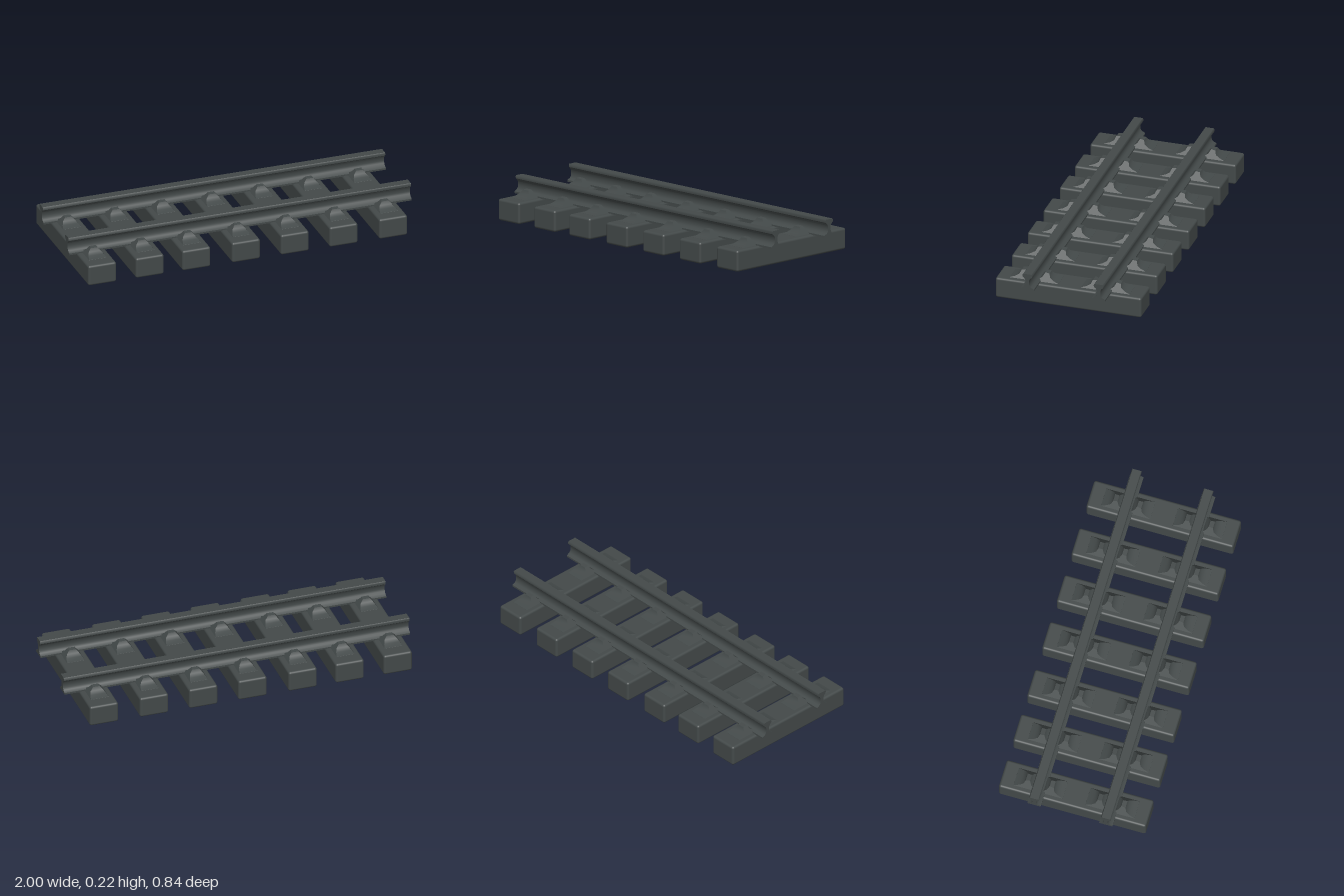
import * as THREE from 'three';
import { toCreasedNormals } from 'three/addons/utils/BufferGeometryUtils.js';
import { RoundedBoxGeometry } from 'three/addons/geometries/RoundedBoxGeometry.js';

const iron = new THREE.MeshStandardMaterial({ color: 0x434949 });
iron.name = 'dark iron grey';

const SLEEPER_X = [-0.87, -0.592, -0.32, -0.03, 0.255, 0.54, 0.83];
const RAIL_Z = [0.207, -0.203];

// Extrudes a (z, y) profile along x, centred on x = 0
function extrudeAlongX(points, length, steps = 1) {
  const shape = new THREE.Shape(points.map(([z, y]) => new THREE.Vector2(z, y)));
  const geometry = new THREE.ExtrudeGeometry(shape, { depth: length, steps, bevelEnabled: false });
  return geometry.translate(0, 0, -length / 2).rotateY(-Math.PI / 2);
}

// Rail: foot, thin web and head, mirrored about its centre
function railGeometry() {
  const half = [
    [0.038, 0.117], [0.038, 0.127], [0.02, 0.136], [0.012, 0.146], [0.01, 0.16],
    [0.011, 0.18], [0.017, 0.19], [0.027, 0.198], [0.028, 0.21], [0.024, 0.216],
  ];
  const mirrored = half.map(([z, y]) => [-z, y]).reverse();
  return toCreasedNormals(extrudeAlongX([...half, ...mirrored], 2), 0.7);
}

// Fastening: a lump beside the rail foot that narrows towards its top
function fasteningGeometry() {
  const geometry = extrudeAlongX([
    [0.02, 0.11], [0.145, 0.11], [0.14, 0.121], [0.11, 0.13], [0.088, 0.142],
    [0.08, 0.161], [0.056, 0.164], [0.045, 0.144], [0.03, 0.134],
  ], 0.12);
  const p = geometry.attributes.position;
  for (let i = 0; i < p.count; i++) {
    const rise = THREE.MathUtils.clamp((p.getY(i) - 0.11) / 0.054, 0, 1);
    p.setX(i, p.getX(i) * (1 - 0.7 * rise));
  }
  return toCreasedNormals(geometry, 0.7);
}

export function createModel() {
  const model = new THREE.Group();
  model.name = 'railTrack';
  const add = (parent, geometry, name) => {
    const mesh = new THREE.Mesh(geometry, iron);
    mesh.name = name;
    parent.add(mesh);
    return mesh;
  };

  // Rails
  const rail = railGeometry();
  RAIL_Z.forEach((z, i) => {
    add(model, rail, i === 0 ? 'frontRail' : 'backRail').position.z = z;
  });

  // Sleepers, each with fastenings on both sides of both rails
  const sleeper = new RoundedBoxGeometry(0.165, 0.12, 0.84, 3, 0.013);
  const fastening = fasteningGeometry();
  SLEEPER_X.forEach((x, i) => {
    const group = new THREE.Group();
    group.name = `sleeperSet${i + 1}`;
    group.position.x = x;
    add(group, sleeper, 'sleeper').position.y = 0.06;
    for (const z of RAIL_Z) {
      for (const turn of [0, Math.PI]) {
        const mesh = add(group, fastening, 'railFastening');
        mesh.position.z = z;
        mesh.rotation.y = turn;
      }
    }
    model.add(group);
  });
  return model;
}
